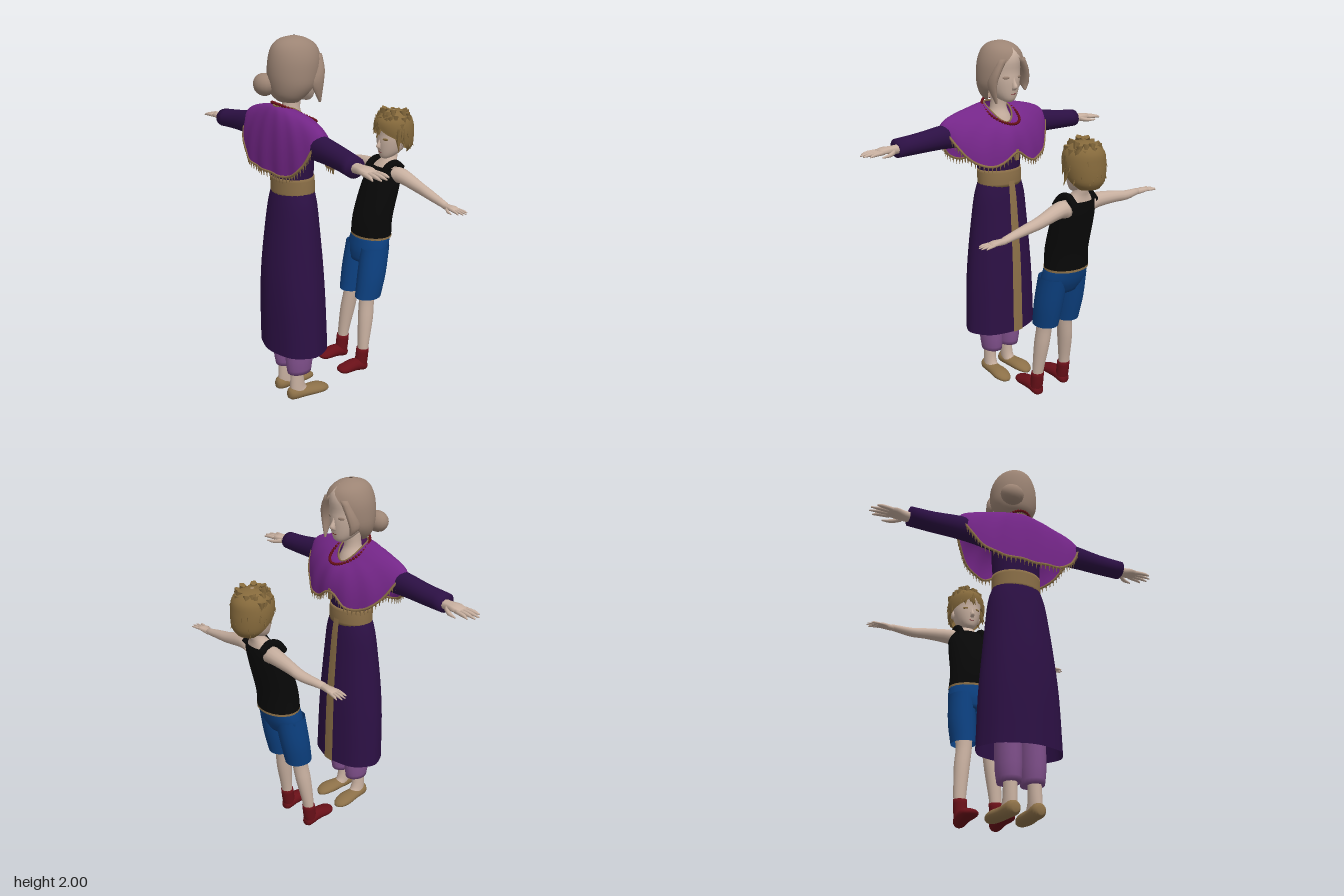
import * as THREE from 'three';

const material = (name, color, side = THREE.FrontSide) => {
  const m = new THREE.MeshStandardMaterial({ color, side });
  m.name = name;
  return m;
};
const M = {
  skin: material('skin', 0xc8b0a0),
  brownHair: material('brown hair', 0x9c8474, THREE.DoubleSide),
  blondHair: material('blond hair', 0x866a3c, THREE.DoubleSide),
  dress: material('dark purple cloth', 0x2c1044, THREE.DoubleSide),
  shawl: material('purple cloth', 0x742688, THREE.DoubleSide),
  tan: material('tan trim', 0x8c7048, THREE.DoubleSide),
  mauve: material('mauve cloth', 0x80508c, THREE.DoubleSide),
  black: material('black cloth', 0x080808, THREE.DoubleSide),
  blue: material('blue cloth', 0x0c4080, THREE.DoubleSide),
  red: material('dark red', 0x681018),
};

let seed = 7;
const rand = () => (seed = (seed * 16807) % 2147483647) / 2147483647;

function add(parent, name, geometry, mat) {
  const mesh = new THREE.Mesh(geometry, mat);
  mesh.name = name;
  parent.add(mesh);
  return mesh;
}

// Grid of points f(i, j) turned into a surface that faces outwards
function surface(rows, cols, f, closed, capped) {
  const pos = [], idx = [], w = closed ? cols : cols + 1;
  for (let i = 0; i <= rows; i++) for (let j = 0; j < w; j++) pos.push(...f(i / rows, j / cols));
  for (let i = 0; i < rows; i++) for (let j = 0; j < cols; j++) {
    const a = i * w + j, b = i * w + (j + 1) % w, c = a + w, d = b + w;
    idx.push(a, c, b, b, c, d);
  }
  if (capped) for (const i of [0, rows]) {
    const m = [0, 0, 0], k = pos.length / 3;
    for (let j = 0; j < w; j++) for (let q = 0; q < 3; q++) m[q] += pos[(i * w + j) * 3 + q] / w;
    pos.push(...m);
    for (let j = 0; j < cols; j++) {
      const a = i * w + j, b = i * w + (j + 1) % w;
      idx.push(...(i ? [a, k, b] : [a, b, k]));
    }
  }
  const n = pos.length / 3, P = [], mid = new THREE.Vector3();
  for (let i = 0; i < n; i++) { P.push(new THREE.Vector3().fromArray(pos, i * 3)); mid.addScaledVector(P[i], 1 / n); }
  P.forEach(p => p.sub(mid));
  let volume = 0;
  for (let i = 0; i < idx.length; i += 3) volume += P[idx[i]].dot(P[idx[i + 1]].clone().cross(P[idx[i + 2]]));
  if (volume < 0) for (let i = 0; i < idx.length; i += 3) [idx[i], idx[i + 1]] = [idx[i + 1], idx[i]];
  const g = new THREE.BufferGeometry();
  g.setAttribute('position', new THREE.Float32BufferAttribute(pos, 3));
  g.setIndex(idx);
  g.computeVertexNormals();
  return g;
}

// Smooth loft through oval sections [x, y, z, radiusA, radiusB, opening]
function loft(sections, axis = 'y', { n = 18, capped = true, from, to, fold = 0 } = {}) {
  const line = new THREE.CatmullRomCurve3(sections.map(s => new THREE.Vector3(s[0], s[1], s[2])), false, 'catmullrom');
  const size = new THREE.CatmullRomCurve3(sections.map(s => new THREE.Vector3(s[3], s[4], s[5] || 0)), false, 'catmullrom');
  const open = from !== undefined || sections.some(s => s[5]);
  return surface((sections.length - 1) * 3, n, (t, u) => {
    const p = line.getPoint(t), r = size.getPoint(t), gap = Math.max(0, r.z);
    const a = from !== undefined ? from + (to - from) * u : gap + (2 * Math.PI - 2 * gap) * u;
    const k = 1 + fold * Math.cos(a * 8) * (1 - t);
    const A = Math.max(r.x, 0.001) * k * Math.cos(a), B = Math.max(r.y, 0.001) * k * Math.sin(a);
    if (axis === 'y') return [p.x + A, p.y, p.z + B];
    if (axis === 'z') return [p.x + A, p.y + B, p.z];
    return [p.x, p.y + A, p.z + B];
  }, !open, capped && !open);
}

// Hand reaching along s * z, with the thumb towards t * x
function hand(parent, x, y, z, s, t, k) {
  const g = new THREE.Group();
  g.name = 'hand';
  g.position.set(x, y, z);
  parent.add(g);
  const part = (name, list) => add(g, name, loft(list.map(p => [p[0] * t * k, p[1] * k, p[2] * s * k, p[3] * k, p[4] * k]), 'z', { n: 8 }), M.skin);
  part('palm', [[0, 0, -0.03, 0.03, 0.026], [0, 0, 0.02, 0.034, 0.024], [0, 0.004, 0.07, 0.046, 0.018], [0, 0, 0.11, 0.04, 0.012]]);
  for (let i = 0; i < 4; i++) {
    const q = i - 1.5, tip = 0.205 - 0.012 * q * q;
    part('finger', [[q * 0.021, 0, 0.09, 0.011, 0.011], [q * 0.026, -0.002, 0.15, 0.01, 0.01], [q * 0.03, -0.008, tip, 0.004, 0.004]]);
  }
  part('thumb', [[0.028, -0.005, 0.025, 0.014, 0.014], [0.055, -0.012, 0.07, 0.012, 0.011], [0.066, -0.015, 0.12, 0.004, 0.004]]);
}

// Head facing +x around its own centre
function head(parent, hairMat, hairSections) {
  const g = new THREE.Group();
  g.name = 'head';
  parent.add(g);
  add(g, 'face', loft([[0.066, -0.165, 0, 0.018, 0.02], [0.05, -0.15, 0, 0.05, 0.045], [0.022, -0.11, 0, 0.088, 0.074],
    [0.008, -0.05, 0, 0.108, 0.093], [0, 0, 0, 0.114, 0.1], [0, 0.06, 0, 0.12, 0.1], [0, 0.11, 0, 0.1, 0.085], [0, 0.14, 0, 0.04, 0.04]], 'y', { n: 24 }), M.skin);
  add(g, 'nose', loft([[0.108, -0.1, 0, 0.006, 0.012], [0.12, -0.082, 0, 0.018, 0.014], [0.11, -0.05, 0, 0.012, 0.009], [0.108, -0.02, 0, 0.004, 0.006]], 'y', { n: 10 }), M.skin);
  add(g, 'mouth', new THREE.SphereGeometry(1, 10, 6), M.red).scale.set(0.004, 0.003, 0.018);
  g.children[2].position.set(0.105, -0.12, 0);
  for (const s of [-1, 1]) {
    const eye = add(g, 'eye', new THREE.SphereGeometry(1, 12, 8), hairMat);
    eye.position.set(0.101, -0.03, s * 0.045);
    eye.rotation.y = -s * 0.45;
    eye.scale.set(0.004, 0.008, 0.02);
    const ear = add(g, 'ear', new THREE.SphereGeometry(1, 10, 8), M.skin);
    ear.position.set(-0.005, -0.05, s * 0.098);
    ear.scale.set(0.02, 0.032, 0.012);
  }
  add(g, 'hair', loft(hairSections, 'y', { n: 26 }), hairMat);
  return g;
}

function makeWoman() {
  const w = new THREE.Group();
  w.name = 'woman';
  const h = head(w, M.brownHair, [[0, 0.16, 0, 0.01, 0.01], [-0.005, 0.145, 0, 0.07, 0.062], [0, 0.11, 0, 0.116, 0.1, 0.06], [0, 0.05, 0, 0.135, 0.124, 0.5],
    [-0.005, -0.02, 0, 0.135, 0.13, 0.9], [-0.012, -0.08, 0, 0.122, 0.125, 1.1], [-0.03, -0.13, 0, 0.09, 0.1, 1.2], [-0.04, -0.16, 0, 0.05, 0.07, 1.3]]);
  h.position.set(-0.28, 1.84, 0);
  for (const [s, end] of [[1, -0.165], [-1, -0.11]])
    add(h, 'hairLock', loft([[0.1, 0.07, s * 0.06, 0.02, 0.025], [0.085, 0, s * 0.098, 0.03, 0.02], [0.065, -0.07, s * 0.112, 0.036, 0.016], [0.085, end, s * 0.1, 0.006, 0.005]], 'y', { n: 10 }), M.brownHair);
  const bun = add(h, 'hairBun', new THREE.SphereGeometry(0.06, 16, 12), M.brownHair);
  bun.position.set(-0.135, -0.08, -0.07);
  bun.scale.set(0.9, 0.95, 1.1);
  add(w, 'neck', loft([[-0.3, 1.48, 0, 0.095, 0.1], [-0.305, 1.58, 0, 0.07, 0.07], [-0.305, 1.64, 0, 0.048, 0.046], [-0.295, 1.73, 0, 0.05, 0.048]]), M.skin);

  // Gown, its front band and the sash
  const gown = [[-0.318, 0.32, 0, 0.163, 0.226], [-0.32, 0.6, 0, 0.16, 0.215], [-0.318, 0.8, 0, 0.152, 0.197], [-0.313, 1, 0, 0.133, 0.176], [-0.308, 1.14, 0, 0.117, 0.158], [-0.305, 1.23, 0, 0.102, 0.13]];
  add(w, 'gownSkirt', loft(gown, 'y', { n: 48, capped: false, fold: 0.012 }), M.dress);
  add(w, 'gownBand', loft(gown.map(s => [s[0] + 0.003, s[1], 0, s[3] + 0.004, s[4]]), 'y', { n: 4, from: -0.16, to: 0.14 }), M.tan);
  add(w, 'bodice', loft([[-0.31, 1.24, 0, 0.1, 0.128], [-0.308, 1.36, 0, 0.108, 0.135], [-0.31, 1.48, 0, 0.105, 0.14], [-0.32, 1.56, 0, 0.08, 0.12]]), M.dress);
  add(w, 'sash', loft([[-0.305, 1.2, 0, 0.107, 0.136], [-0.305, 1.25, 0, 0.108, 0.136], [-0.307, 1.295, 0, 0.107, 0.135]], 'y', { n: 28 }), M.tan);

  // Shawl falling from the neck and over the arms, with a fringed hem
  const drape = (t, u) => {
    const a = u * 2 * Math.PI, c = Math.cos(a), s = Math.sin(a), e = t * Math.PI / 2;
    const lift = 0.07 * Math.exp(-Math.pow(Math.atan2(s, c) / 0.22, 2));
    const top = [-0.31 + 0.085 * c, 1.61 - 0.05 * c + 0.03 * s * s, 0.072 * s];
    const hem = [-0.3 - 0.05 * s * s + 0.155 * c, 1.335 + 0.225 * Math.pow(Math.abs(s), 4.6) + lift, 0.36 * s];
    const r = Math.sin(e), d = 1 - Math.cos(e);
    const ripple = 0.005 * t * Math.sin(a * 14);
    return [top[0] + (hem[0] - top[0]) * r + ripple * c, top[1] + (hem[1] - top[1]) * d, top[2] + (hem[2] - top[2]) * r];
  };
  add(w, 'shawl', surface(10, 72, drape, true, false), M.shawl);
  const ring = (t, n) => new THREE.CatmullRomCurve3(Array.from({ length: n }, (_, i) => new THREE.Vector3(...drape(t, i / n))), true);
  add(w, 'shawlHem', new THREE.TubeGeometry(ring(1, 72), 120, 0.007, 5, true), M.tan);
  add(w, 'shawlCollar', new THREE.TubeGeometry(ring(0, 40), 60, 0.005, 5, true), M.tan);
  ring(1, 72).getSpacedPoints(84).forEach(p => {
    const tassel = add(w, 'tassel', new THREE.ConeGeometry(0.006, 0.038, 5), M.tan);
    tassel.position.set(p.x, p.y - 0.018, p.z);
    tassel.rotation.x = Math.PI;
  });
  for (let i = 0; i < 44; i++) {
    const a = i / 44 * 2 * Math.PI;
    add(w, 'necklaceBead', new THREE.SphereGeometry(0.008, 8, 6), M.red)
      .position.set(-0.285 + 0.118 * Math.cos(a), 1.618 - 0.06 * Math.cos(a), 0.092 * Math.sin(a));
  }
  add(w, 'pendant', new THREE.BoxGeometry(0.012, 0.06, 0.02), M.tan).position.set(-0.148, 1.39, 0);

  for (const s of [-1, 1]) {
    add(w, 'sleeve', loft([[-0.33, 1.49, s * 0.06, 0.07, 0.07], [-0.345, 1.505, s * 0.22, 0.06, 0.072], [-0.348, 1.505, s * 0.36, 0.055, 0.064], [-0.35, 1.495, s * 0.5, 0.053, 0.055], [-0.362, 1.485, s * 0.635, 0.054, 0.05]], 'z'), M.dress);
    hand(w, -0.355, 1.483, s * 0.64, s, 1, 0.98);
    add(w, 'trouserLeg', loft([[-0.325, 0.165, s * 0.063, 0.07, 0.056], [-0.325, 0.25, s * 0.065, 0.08, 0.063], [-0.325, 0.45, s * 0.065, 0.08, 0.065]]), M.mauve);
    add(w, 'ankle', loft([[-0.32, 0.035, s * 0.068, 0.065, 0.036], [-0.34, 0.08, s * 0.066, 0.044, 0.034], [-0.342, 0.2, s * 0.064, 0.036, 0.033]]), M.skin);
    add(w, 'shoe', loft([[-0.4, 0.036, s * 0.066, 0.022, 0.018], [-0.375, 0.038, s * 0.067, 0.037, 0.038], [-0.3, 0.032, s * 0.072, 0.031, 0.042],
      [-0.22, 0.03, s * 0.08, 0.029, 0.05], [-0.17, 0.022, s * 0.082, 0.02, 0.036], [-0.15, 0.016, s * 0.08, 0.008, 0.014]], 'x'), M.tan);
  }
  return w;
}

function makeBoy() {
  const b = new THREE.Group();
  b.name = 'boy';
  const h = head(b, M.blondHair, [[0, 0.15, 0, 0.01, 0.01], [0, 0.135, 0, 0.08, 0.075], [0, 0.09, 0, 0.125, 0.117], [-0.002, 0.03, 0, 0.132, 0.13, 0.25],
    [-0.01, -0.03, 0, 0.126, 0.127, 1.05], [-0.025, -0.085, 0, 0.105, 0.112, 1.5], [-0.04, -0.125, 0, 0.065, 0.075, 1.7]]);
  h.position.set(0.365, 1.425, -0.005);
  h.rotation.y = Math.PI;
  h.scale.setScalar(0.86);
  // Shaggy tufts pointing down and outwards
  for (let i = 0; i < 64; i++) {
    const a = i * 2.4, front = Math.cos(a) > 0.45, y = (front ? 0.03 : -0.07) + rand() * (front ? 0.09 : 0.18);
    const r = 0.122 * Math.sqrt(Math.max(0.1, 1 - Math.pow(y / 0.155, 2)));
    const tuft = add(h, 'hairTuft', new THREE.ConeGeometry(0.022, 0.08 + rand() * 0.03, 5), M.blondHair);
    tuft.position.set(r * Math.cos(a), y, r * Math.sin(a));
    tuft.quaternion.setFromUnitVectors(new THREE.Vector3(0, 1, 0), new THREE.Vector3(Math.cos(a) * 0.35, -1, Math.sin(a) * 0.35 + rand() * 0.5 - 0.25).normalize());
  }
  const cowlick = add(h, 'cowlick', new THREE.ConeGeometry(0.016, 0.06, 5), M.blondHair);
  cowlick.position.set(0.03, 0.15, 0.02);
  cowlick.rotation.z = -0.9;

  // Neck, vest and shorts leaning backwards
  add(b, 'neck', loft([[0.312, 1.17, -0.01, 0.07, 0.118], [0.32, 1.225, -0.01, 0.06, 0.105], [0.335, 1.265, -0.008, 0.045, 0.06], [0.352, 1.3, -0.005, 0.036, 0.038], [0.36, 1.36, -0.005, 0.036, 0.038]]), M.skin);
  add(b, 'vest', loft([[0.23, 0.845, -0.022, 0.106, 0.132], [0.236, 0.95, -0.018, 0.106, 0.126], [0.273, 1.09, -0.014, 0.098, 0.128], [0.304, 1.19, -0.01, 0.083, 0.125], [0.322, 1.24, -0.01, 0.064, 0.104]], 'y', { n: 24, capped: false }), M.black);
  add(b, 'vestHem', loft([[0.23, 0.84, -0.022, 0.107, 0.133], [0.23, 0.853, -0.022, 0.107, 0.133]], 'y', { n: 24, capped: false }), M.tan);
  add(b, 'shortsSeat', loft([[0.19, 0.7, -0.022, 0.078, 0.1], [0.208, 0.77, -0.022, 0.098, 0.142], [0.23, 0.86, -0.022, 0.101, 0.128]]), M.blue);
  for (const s of [-1, 1]) {
    const strap = new THREE.CatmullRomCurve3([[0.235, 1.2], [0.275, 1.25], [0.325, 1.266], [0.375, 1.23]].map(p => new THREE.Vector3(p[0], p[1], -0.01 + s * 0.075)));
    add(b, 'vestStrap', new THREE.TubeGeometry(strap, 12, 0.02, 8), M.black);
    const z = -0.02 + s * 0.077, foot = s > 0 ? 0.073 : -0.13;
    add(b, 'shortsLeg', loft([[0.153, 0.495, z, 0.078, 0.068], [0.178, 0.63, z, 0.085, 0.076], [0.205, 0.79, z + s * -0.006, 0.088, 0.072]], 'y', { capped: false }), M.blue);
    add(b, 'leg', loft([[0.108, 0.13, foot, 0.03, 0.032], [0.112, 0.2, foot, 0.032, 0.034], [0.132, 0.36, (foot + z) / 2, 0.045, 0.042], [0.146, 0.48, z, 0.045, 0.044], [0.165, 0.6, z, 0.055, 0.055]]), M.skin);
    add(b, 'sock', loft([[0.092, 0.06, foot, 0.035, 0.036], [0.1, 0.11, foot, 0.038, 0.036], [0.108, 0.178, foot, 0.036, 0.037]]), M.red);
    add(b, 'sockFoot', loft([[0.132, 0.06, foot, 0.018, 0.02], [0.11, 0.067, foot, 0.034, 0.036], [0.05, 0.083, foot, 0.037, 0.039], [-0.02, 0.08, foot, 0.027, 0.043], [-0.05, 0.08, foot, 0.018, 0.034], [-0.064, 0.082, foot, 0.007, 0.015]], 'x'), M.red);

    // Bare arms, the one on the -z side held a little higher
    const up = s > 0 ? 0 : 0.055, back = s > 0 ? 0.33 : 0.305;
    add(b, 'arm', loft([[0.318, 1.195, s * 0.07, 0.05, 0.05], [0.327, 1.205 + up * 0.1, s * 0.13, 0.046, 0.042], [0.335, 1.172 + up * 0.6, s * 0.27, 0.032, 0.032],
      [0.333, 1.155 + up * 0.7, s * 0.36, 0.029, 0.026], [back, 1.13 + up, s * 0.49, 0.019, 0.018]], 'z', { n: 14 }), M.skin);
    hand(b, back, 1.128 + up, s * 0.5, s, -1, 0.66);
  }
  return b;
}

export function createModel() {
  const model = new THREE.Group();
  model.name = 'woman and boy';
  model.add(makeWoman(), makeBoy());
  return model;
}
